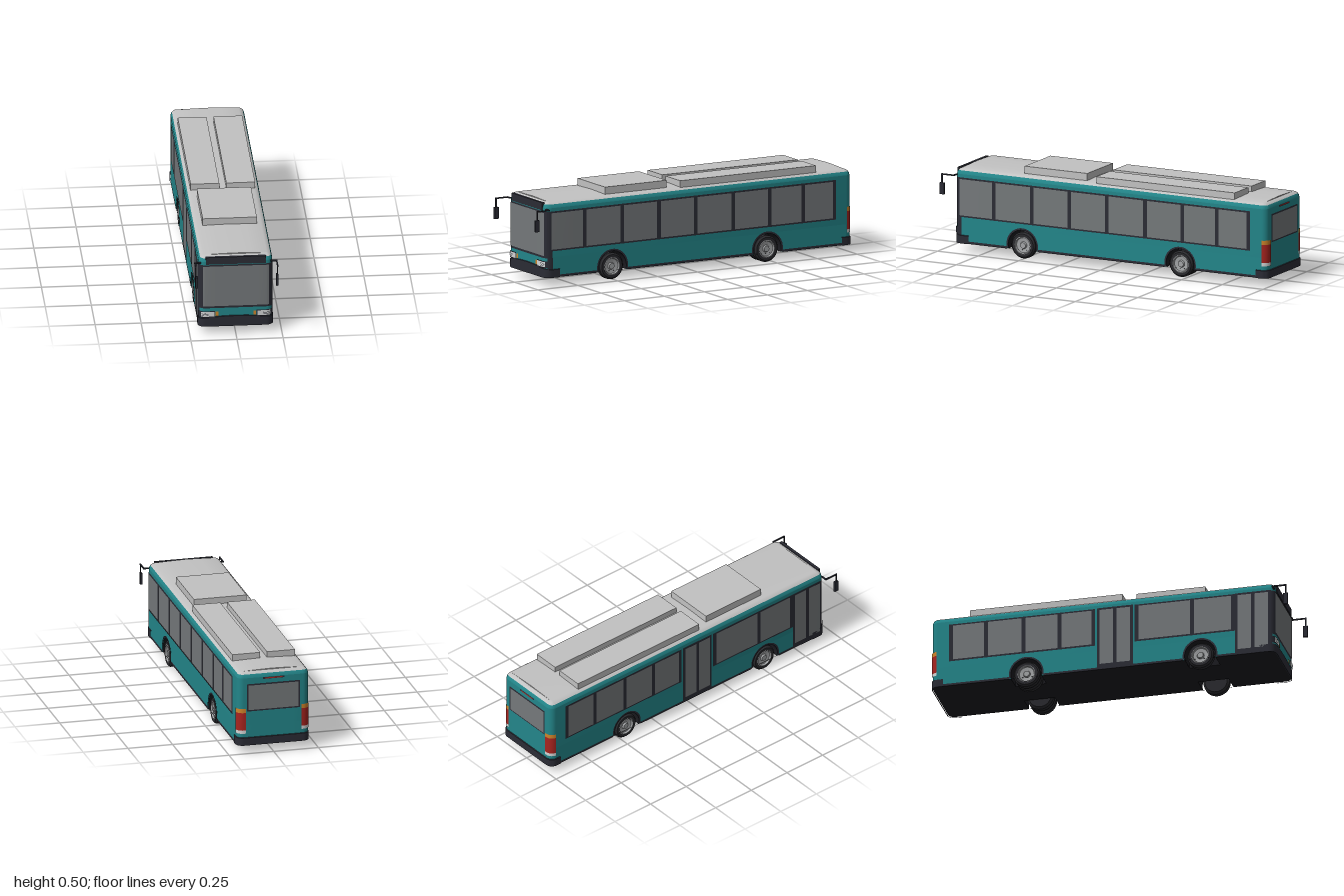
import * as THREE from 'three';
import { toCreasedNormals } from 'three/addons/utils/BufferGeometryUtils.js';

const mat = (name, color, side = THREE.FrontSide) => {
  const m = new THREE.MeshStandardMaterial({ color, side });
  m.name = name;
  return m;
};

export function createModel() {
  const M = {
    teal: mat('tealPaint', 0x23868a),
    roof: mat('roofGrey', 0xc2c2c2),
    trim: mat('darkTrim', 0x2b2c35),
    glass: mat('greyGlass', 0x75797b),
    black: mat('underbodyBlack', 0x1b1b20, THREE.DoubleSide),
    tyre: mat('tyreRubber', 0x2a2a2e),
    rim: mat('rimGrey', 0xa4a6a8),
    lamp: mat('lampWhite', 0xd4d6d6),
    orange: mat('indicatorOrange', 0xd0842a),
    red: mat('tailRed', 0xa8241f),
  };
  const bus = new THREE.Group();
  bus.name = 'bus';
  const add = (geo, m, name, parent = bus) => {
    const mesh = new THREE.Mesh(geo, m);
    mesh.name = name;
    parent.add(mesh);
    return mesh;
  };
  const box = (w, h, d, x, y, z, m, name) =>
    add(new THREE.BoxGeometry(w, h, d).translate(x, y, z), m, name);

  // Plan outline: s runs from the front centre (0) round the left side to the rear centre (T)
  const H = 0.2, R = 0.035, ZF = 0.92, ZB = -0.995;
  const A = H - R, C = R * Math.PI / 2, L = ZF - ZB - 2 * R;
  const S1 = A + C, S2 = S1 + L, S3 = S2 + C, T = S3 + A;
  const sz = z => S1 + ZF - R - z;
  function at(s, off = 0) {
    const k = s < 0 ? -1 : 1, a = Math.abs(s), r = R + off;
    let x, z;
    if (a <= A) { x = a; z = ZF + off; }
    else if (a < S1) { const t = (a - A) / R; x = A + r * Math.sin(t); z = ZF - R + r * Math.cos(t); }
    else if (a <= S2) { x = H + off; z = ZF - R - (a - S1); }
    else if (a < S3) { const t = (a - S2) / R; x = A + r * Math.cos(t); z = ZB + R - r * Math.sin(t); }
    else { x = T - a; z = ZB - off; }
    return [k * x, z];
  }
  function samples(s0, s1) {
    const list = [0, A / 3, A * 2 / 3, S3 + A / 3, S3 + A * 2 / 3];
    for (let i = 0; i <= 6; i++) list.push(A + C * i / 6, S2 + C * i / 6);
    const inner = [...list, ...list.map(v => -v)].filter(v => v > s0 + 1e-4 && v < s1 - 1e-4);
    return [s0, ...new Set(inner), s1].sort((a, b) => a - b);
  }

  // Surface through rows of points, bottom row first
  function skin(rows, m, name) {
    const n = rows[0].length, idx = [];
    for (let j = 0; j < rows.length - 1; j++)
      for (let i = 0; i < n - 1; i++) {
        const a = j * n + i, b = a + 1, c = a + n, d = c + 1;
        idx.push(a, b, d, a, d, c);
      }
    const g = new THREE.BufferGeometry();
    g.setAttribute('position', new THREE.Float32BufferAttribute(rows.flat(2), 3));
    g.setIndex(idx);
    return add(toCreasedNormals(g, 0.7), m, name);
  }
  // levels: [offset, y or function of s]
  function wrap(s0, s1, levels, m, name) {
    const ss = samples(s0, s1);
    return skin(levels.map(([off, y]) => ss.map(s => {
      const [x, z] = at(s, off);
      return [x, typeof y === 'function' ? y(s) : y, z];
    })), m, name);
  }
  const patch = (s0, s1, y0, y1, off, m, name) => wrap(s0, s1, [[off, y0], [off, y1]], m, name);
  const both = (s0, s1, ...rest) => { patch(s0, s1, ...rest); patch(-s1, -s0, ...rest); };
  // Patch on one side wall, k = 1 left, -1 right, between two z values
  const sidePatch = (k, zHi, zLo, ...rest) =>
    k > 0 ? patch(sz(zHi), sz(zLo), ...rest) : patch(-sz(zLo), -sz(zHi), ...rest);

  // Body shell and crowned roof
  patch(-T, T, 0.16, 0.43, 0, M.teal, 'bodyShell');
  patch(-S1, S1, 0.05, 0.16, 0, M.teal, 'frontLowerPanel');
  both(S2, T, 0.05, 0.16, 0, M.teal, 'rearLowerPanel');
  wrap(-T, T, [[0, 0.43], [-0.003, 0.441], [-0.008, 0.449]], M.teal, 'roofEdge');
  const all = samples(-T, T);
  const ring = (off, y, f = 1) => all.map(s => { const [x, z] = at(s, off); return [x * f, y, z]; });
  skin([ring(-0.008, 0.449), ring(-0.016, 0.456), ring(-0.03, 0.461),
    ring(-0.03, 0.464, 0.5), ring(-0.03, 0.466, 0)], M.roof, 'roof');

  // Lower side walls with wheel openings
  const wheelZ = [0.505, -0.465], WY = 0.073, WR = 0.088;
  const a0 = Math.asin((0.05 - WY) / WR);
  const arc = (r, n = 24) => Array.from({ length: n + 1 }, (_, i) => {
    const t = Math.PI - a0 - (Math.PI - 2 * a0) * i / n;
    return [r * Math.cos(t), WY + r * Math.sin(t)];
  });
  for (const k of [1, -1]) {
    const us = wheelZ.map(z => -k * z).sort((a, b) => a - b);
    const ends = [-k * (ZF - R), -k * (ZB + R)].sort((a, b) => a - b);
    const pts = [[ends[0], 0.05]];
    us.forEach(u => arc(WR).forEach(([p, y]) => pts.push([u + p, y])));
    pts.push([ends[1], 0.05], [ends[1], 0.1605], [ends[0], 0.1605]);
    const shape = new THREE.Shape(pts.map(p => new THREE.Vector2(...p)));
    add(new THREE.ShapeGeometry(shape).rotateY(k * Math.PI / 2).translate(k * H, 0, 0), M.teal, 'sideLowerPanel');
    // Wheel wells and arch trim
    for (const z of wheelZ) {
      skin([0.09, H].map(x => arc(WR).map(([p, y]) => [k * x, y, z + p])), M.black, 'wheelWell');
      const lip = new THREE.RingGeometry(WR - 0.002, WR + 0.009, 28, 1, a0 + 0.05, Math.PI - 2 * a0 - 0.1);
      add(lip.rotateY(k * Math.PI / 2).translate(k * (H + 0.003), WY, z), M.trim, 'archTrim');
    }
    // Dark sill between the wheels
    [[ZF - R, 0.6], [0.41, -0.37], [-0.56, ZB + R]].forEach(([a, b]) =>
      sidePatch(k, a, b, 0.048, 0.061, 0.002, M.trim, 'sill'));
  }

  // Underbody
  const floor = new THREE.Shape(all.slice(0, -1).map(s => new THREE.Vector2(...at(s, -0.001))));
  for (const k of [1, -1]) for (const z of wheelZ)
    floor.holes.push(new THREE.Path([[0.09, -0.085], [0.197, -0.085], [0.197, 0.085], [0.09, 0.085]]
      .map(([x, d]) => new THREE.Vector2(k * x, z + d))));
  add(new THREE.ShapeGeometry(floor).rotateX(Math.PI / 2).translate(0, 0.05, 0), M.black, 'floor');
  box(0.182, 0.13, 1.8, 0, 0.117, -0.04, M.black, 'chassis');

  // Wheels, doubled at the rear
  const lathe = (pts, m, name, parent) => {
    const g = new THREE.LatheGeometry(pts.map(p => new THREE.Vector2(...p)), 32);
    return add(toCreasedNormals(g.rotateZ(-Math.PI / 2), 0.5), m, name, parent);
  };
  const h = 0.023;
  for (const k of [1, -1]) for (const z of wheelZ)
    for (const x of z > 0 ? [0.175] : [0.175, 0.125]) {
      const wheel = new THREE.Group();
      wheel.name = z > 0 ? 'frontWheel' : 'rearWheel';
      lathe([[0, -h], [0.062, -h], [0.073, -h * 0.55], [0.073, h * 0.55], [0.064, h], [0.049, h]], M.tyre, 'tyre', wheel);
      lathe([[0.049, h], [0.045, h + 0.002], [0.041, h - 0.008], [0.02, h - 0.011], [0.016, h - 0.002], [0, h - 0.002]], M.rim, 'rim', wheel);
      wheel.position.set(k * x, WY, z);
      wheel.rotation.y = k > 0 ? 0 : Math.PI;
      bus.add(wheel);
    }

  // Side windows
  const panes = (k, zs) => {
    sidePatch(k, zs[0] + 0.01, zs[zs.length - 1] - 0.01, 0.193, 0.412, 0.002, M.trim, 'windowFrame');
    for (let i = 0; i < zs.length - 1; i++)
      sidePatch(k, zs[i] - 0.011, zs[i + 1] + 0.011, 0.202, 0.403, 0.004, M.glass, 'sideWindow');
  };
  panes(1, [0.9, 0.68, 0.445, 0.215, -0.015, -0.25, -0.48, -0.69, -0.885]);
  panes(-1, [0.69, 0.46, 0.15]);
  panes(-1, [-0.09, -0.28, -0.48, -0.69, -0.885]);

  // Double-leaf doors on the right side
  for (const z of [0.8, 0.03]) {
    sidePatch(-1, z + 0.1, z - 0.1, 0.06, 0.414, 0.003, M.trim, 'doorFrame');
    for (const d of [0.048, -0.048])
      sidePatch(-1, z + d + 0.038, z + d - 0.038, 0.08, 0.402, 0.005, M.glass, 'doorGlass');
  }

  // Windscreen, pillars and destination sign
  patch(-0.225, 0.225, 0.155, 0.412, 0.002, M.trim, 'windscreenFrame');
  patch(-0.178, 0.178, 0.167, 0.404, 0.004, M.glass, 'windscreen');
  both(0.198, 0.226, 0.09, 0.156, 0.002, M.trim, 'cornerPillar');
  box(0.326, 0.042, 0.016, 0, 0.437, 0.916, M.trim, 'destinationSign');

  // Bumpers
  const brow = s => 0.107 - 0.016 * Math.min(1, Math.abs(s) / S1) ** 2;
  wrap(-0.27, 0.27, [[0, 0.047], [0.005, 0.047], [0.005, brow], [0, s => brow(s) + 0.002]], M.trim, 'frontBumper');
  for (const [a, b] of [[S2 - 0.03, T], [-T, -S2 + 0.03]])
    wrap(a, b, [[0, 0.047], [0.005, 0.047], [0.005, 0.09], [0, 0.092]], M.trim, 'rearBumper');

  // Front lamps
  both(0.113, 0.204, 0.102, 0.139, 0.006, M.trim, 'headlightSurround');
  both(0.117, 0.186, 0.107, 0.135, 0.0075, M.lamp, 'headlight');
  for (const y of [0.112, 0.119, 0.126]) both(0.148, 0.184, y, y + 0.002, 0.0085, M.trim, 'headlightSlat');
  both(0.095, 0.11, 0.109, 0.134, 0.004, M.orange, 'frontIndicator');

  // Rear lamps and window
  both(S2 + 0.004, S3 + 0.01, 0.115, 0.133, 0.004, M.lamp, 'reverseLamp');
  both(S2 + 0.004, S3 + 0.01, 0.133, 0.233, 0.004, M.red, 'tailLamp');
  both(S2 + 0.004, S3 + 0.01, 0.233, 0.257, 0.004, M.orange, 'rearIndicator');
  both(T - 0.148, T, 0.24, 0.396, 0.002, M.trim, 'rearWindowFrame');
  both(T - 0.14, T, 0.248, 0.388, 0.004, M.glass, 'rearWindow');
  both(T - 0.06, T, 0.419, 0.429, 0.002, M.trim, 'brakeLampSurround');
  both(T - 0.05, T, 0.421, 0.427, 0.004, M.red, 'highBrakeLamp');

  // Roof units
  box(0.294, 0.045, 0.385, 0, 0.4795, 0.328, M.roof, 'airConditioner');
  for (const k of [1, -1])
    box(0.156, 0.042, 0.85, k * 0.097, 0.476, -0.36, M.roof, 'roofPod');

  // Wing mirrors
  for (const k of [1, -1]) {
    box(0.036, 0.007, 0.008, k * 0.207, 0.424, 0.915, M.trim, 'mirrorBracket');
    box(0.007, 0.007, 0.08, k * 0.222, 0.424, 0.951, M.trim, 'mirrorArm');
    box(0.006, 0.056, 0.007, k * 0.221, 0.3995, 0.988, M.trim, 'mirrorStem');
    box(0.012, 0.064, 0.025, k * 0.219, 0.344, 0.9875, M.trim, 'mirrorHead');
  }
  return bus;
}
